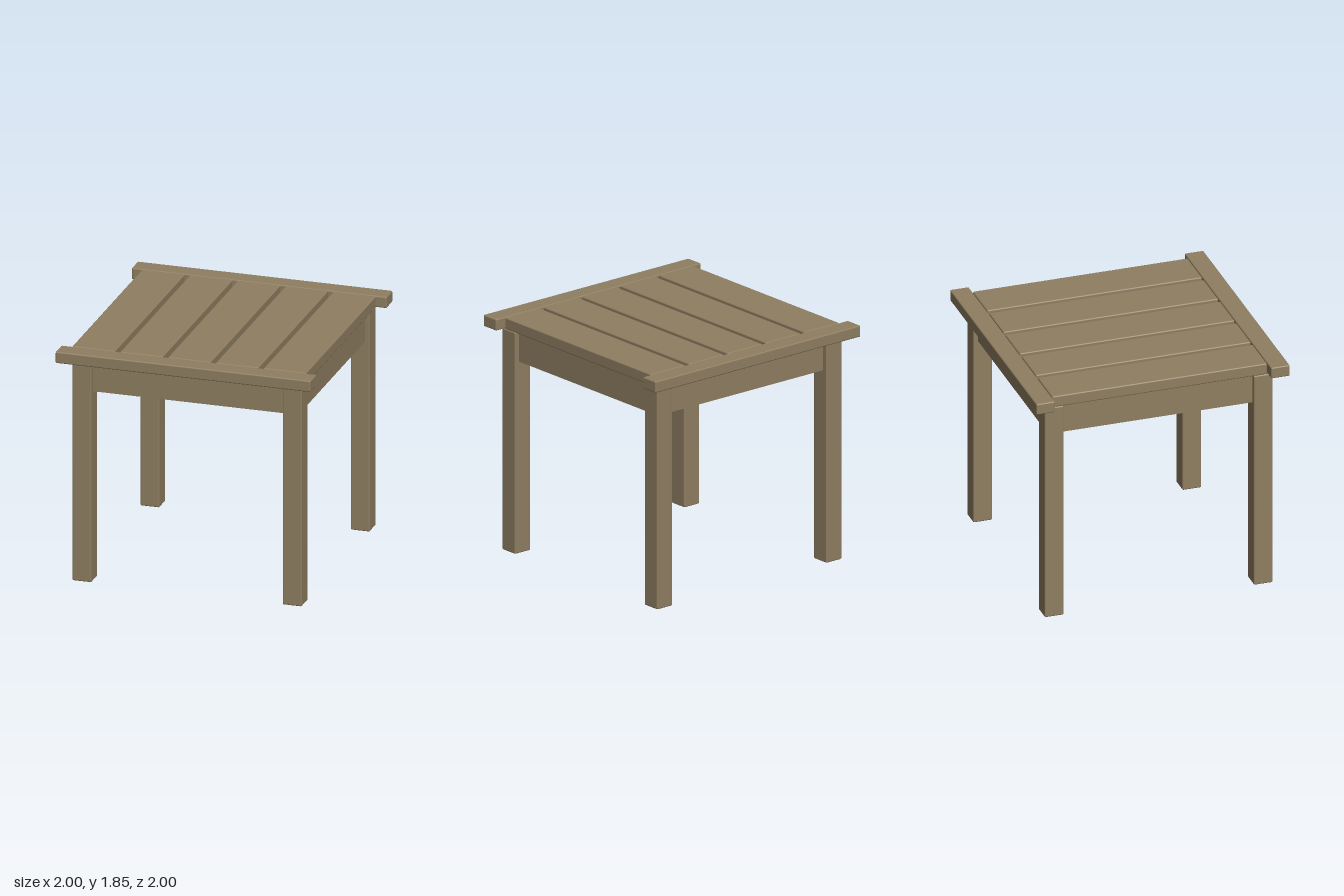
import * as THREE from 'three';
import { RoundedBoxGeometry } from 'three/addons/geometries/RoundedBoxGeometry.js';

export function createModel() {
  const table = new THREE.Group();
  table.name = 'sideTable';
  const wood = new THREE.MeshStandardMaterial({ color: 0x8f7e61 });
  wood.name = 'weathered wood';

  function add(name, geometry, x, y, z) {
    const mesh = new THREE.Mesh(geometry, wood);
    mesh.name = name;
    mesh.position.set(x, y, z);
    table.add(mesh);
    return mesh;
  }
  // Boards and legs have softly eased edges
  const eased = (w, h, d) => new RoundedBoxGeometry(w, h, d, 2, 0.01);

  // Four square legs
  const leg = eased(0.15, 1.75, 0.15);
  for (const [side, x] of [['Left', 0.825], ['Right', -0.825]]) {
    for (const [end, z] of [['front', 0.825], ['back', -0.825]]) {
      add(`${end}${side}Leg`, leg, x, 0.875, z);
    }
  }

  // Square-edged aprons set between the legs
  const apron = new THREE.BoxGeometry(1.5, 0.225, 0.075);
  add('frontApron', apron, 0, 1.6275, 0.825);
  add('backApron', apron, 0, 1.6275, -0.825);
  add('leftApron', apron, 0.825, 1.6275, 0).rotation.y = Math.PI / 2;
  add('rightApron', apron, -0.825, 1.6275, 0).rotation.y = Math.PI / 2;

  // Five top slats running front to back
  const slat = eased(0.336, 0.09, 1.696);
  for (let i = -2; i <= 2; i++) add(`topSlat${i + 3}`, slat, i * 0.375, 1.805, 0);

  // Cross boards capping the slat ends
  const endBoard = eased(2, 0.09, 0.148);
  add('frontEndBoard', endBoard, 0, 1.805, 0.926);
  add('backEndBoard', endBoard, 0, 1.805, -0.926);

  return table;
}
